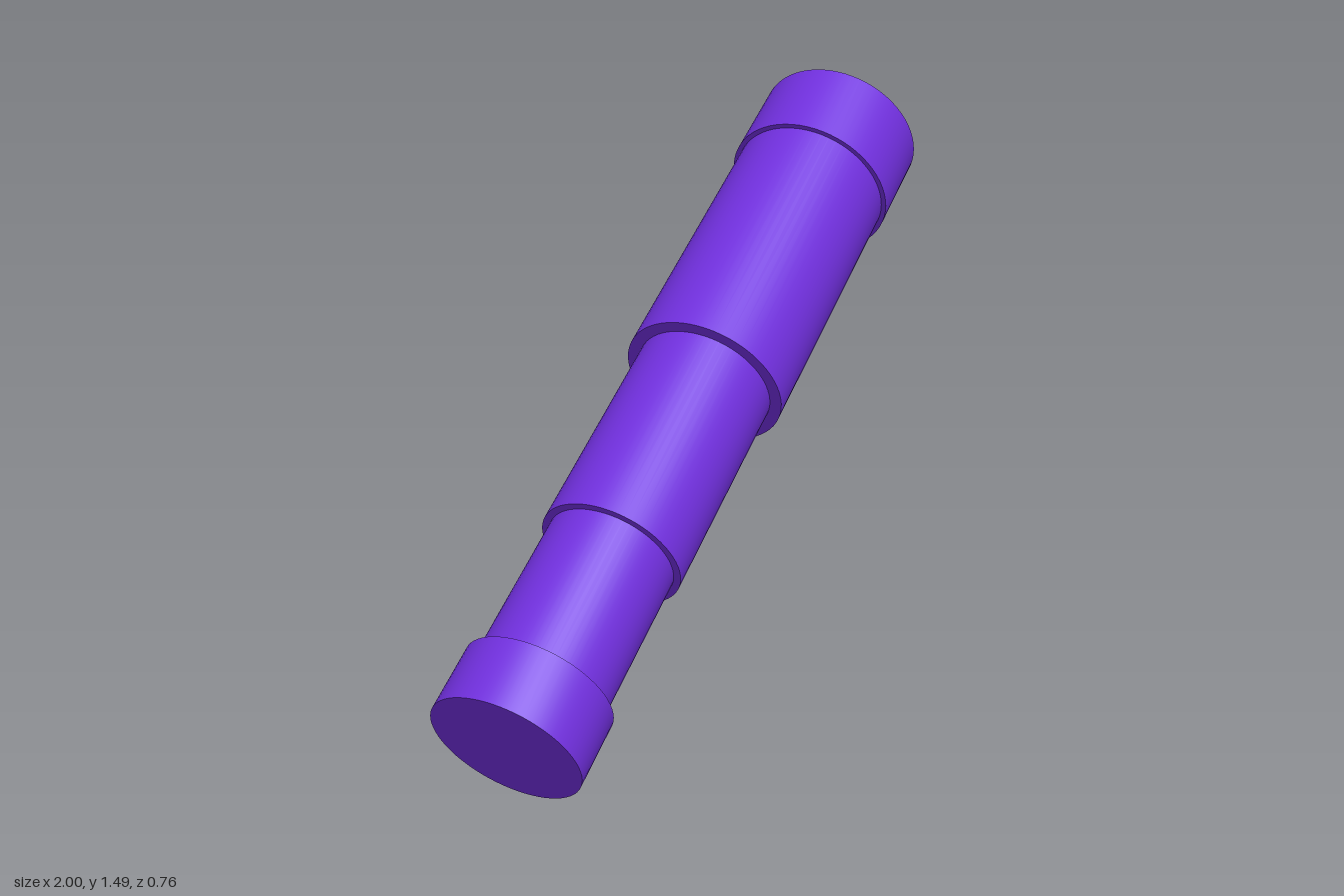
import * as THREE from 'three';
import { toCreasedNormals } from 'three/addons/utils/BufferGeometryUtils.js';

const SIDES = 64;

// Solid of revolution with crisp rims and smooth sides
function lathe(name, profile, material) {
  const points = profile.map(([r, y]) => new THREE.Vector2(r, y));
  const geometry = toCreasedNormals(new THREE.LatheGeometry(points, SIDES), 0.6);
  const mesh = new THREE.Mesh(geometry, material);
  mesh.name = name;
  return mesh;
}

// Closed cylinder between two heights along the barrel
const tube = (r, y0, y1) => [[0, y0], [r, y0], [r, y1], [0, y1]];

export function createModel() {
  const purple = new THREE.MeshStandardMaterial({ color: 0x702fdc });
  purple.name = 'purple body';
  const glass = new THREE.MeshStandardMaterial({ color: 0xdcdcdc });
  glass.name = 'pale glass';

  // The telescope runs from the eyepiece centre to the front rim centre
  const start = new THREE.Vector3(-0.895, 0.158, 0.195);
  const end = new THREE.Vector3(0.874, 1.3, -0.158);
  const axis = end.clone().sub(start);
  const L = axis.length();

  const telescope = new THREE.Group();
  telescope.name = 'telescope';
  telescope.position.copy(start);
  telescope.quaternion.setFromUnitVectors(new THREE.Vector3(0, 1, 0), axis.normalize());

  // Eyepiece and three telescoping tubes
  telescope.add(
    lathe('eyepiece', tube(0.187, 0, 0.168), purple),
    lathe('smallTube', tube(0.163, 0.1, 0.62), purple),
    lathe('middleTube', tube(0.181, 0.565, 1.2), purple),
    lathe('largeTube', tube(0.212, 1.14, L - 0.15), purple)
  );

  // Front hood with a recessed opening
  const opening = 0.165;
  const seat = L - 0.06;
  telescope.add(lathe('frontHood', [
    [0.2, L - 0.238], [0.225, L - 0.238], [0.225, L], [opening, L], [opening, seat - 0.02]
  ], purple));

  // Gently domed lens
  const dome = [];
  for (let i = 0; i <= 8; i++) {
    const a = (i / 8) * Math.PI / 2;
    const r = opening * Math.cos(a);
    dome.push([r, seat + 0.022 * (1 - (r / opening) ** 2)]);
  }
  telescope.add(lathe('lens', dome, glass));

  const model = new THREE.Group();
  model.name = 'spyglass';
  model.add(telescope);
  return model;
}
